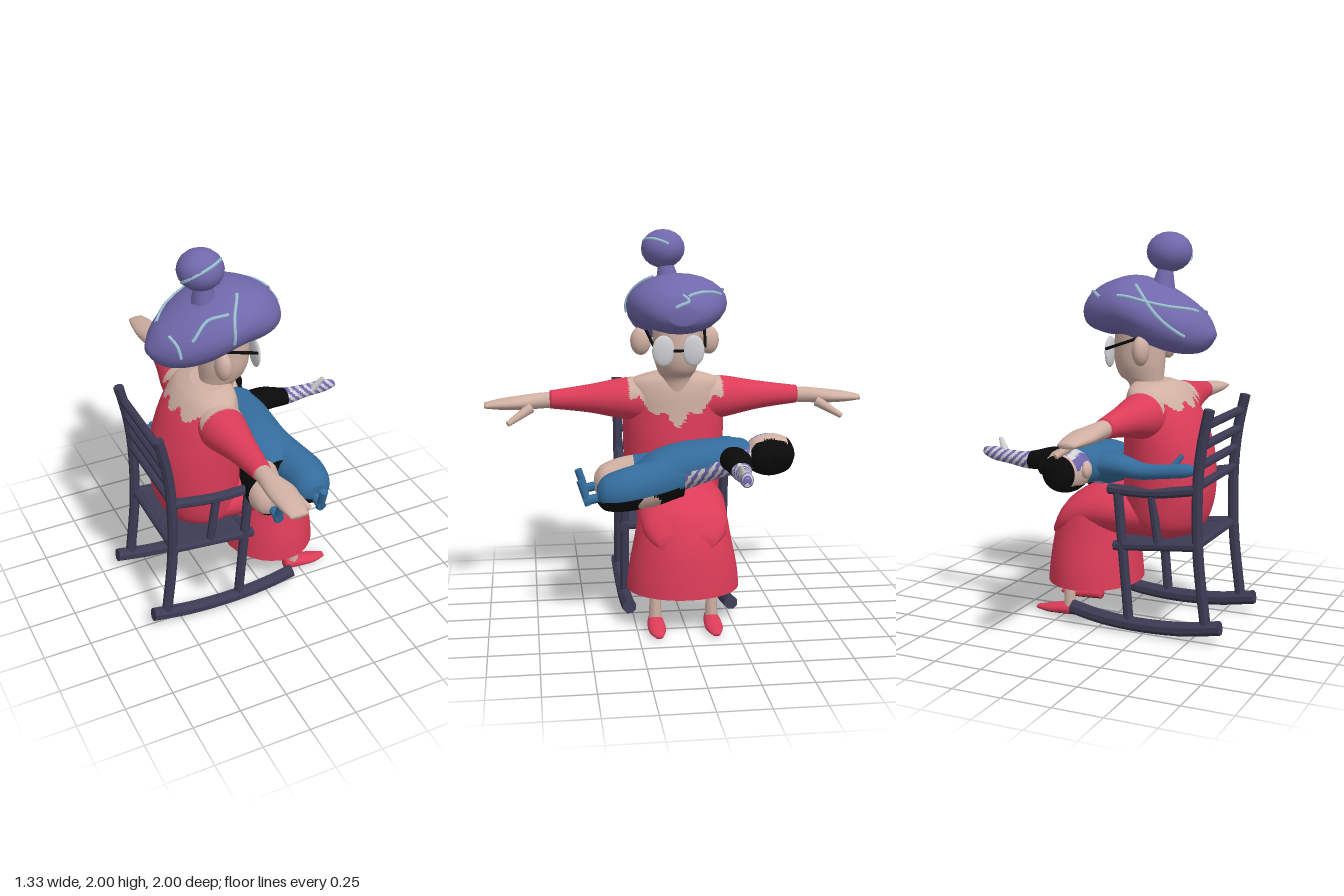
import * as THREE from 'three';

const mat = (name, color) => Object.assign(new THREE.MeshStandardMaterial({ color, side: THREE.DoubleSide }), { name });
const V = (x, y, z) => new THREE.Vector3(x, y, z);

// Smooth interpolation between rows of numbers; t runs over row indices
function sample(rows, t) {
  const n = rows.length - 1, i = Math.min(Math.floor(t), n - 1), f = t - i;
  const r = k => rows[Math.max(0, Math.min(n, k))];
  return rows[i].map((_, c) => {
    const a = r(i - 1)[c], b = r(i)[c], d = r(i + 1)[c], e = r(i + 2)[c];
    const v = b + 0.5 * f * (d - a + f * (2 * a - 5 * b + 4 * d - e + f * (3 * (b - d) + e - a)));
    return Math.min(Math.max(v, Math.min(b, d) - 0.01), Math.max(b, d) + 0.01);
  });
}

// Point on an elliptical section; row = [position, centreU, centreV, radiusU, radiusV]
const order = { x: [1, 2, 0], y: [2, 0, 1], z: [0, 1, 2] };
function ringPoint(axis, [p, cu, cv, ru, rv], a) {
  const [u, v, w] = order[axis], out = [0, 0, 0];
  out[u] = cu + ru * Math.cos(a);
  out[v] = cv + rv * Math.sin(a);
  out[w] = p;
  return out;
}

// Body lofted through sections in rising position; paint(x, y, z) picks a material
function loft(name, axis, rows, mats, { paint = () => 0, seg = 24, sub = 4, openStart = false } = {}) {
  const pos = [], steps = (rows.length - 1) * sub, buckets = mats.map(() => []);
  for (let i = 0; i <= steps; i++) {
    const row = sample(rows, i / sub);
    for (let j = 0; j < seg; j++) pos.push(...ringPoint(axis, row, j / seg * Math.PI * 2));
  }
  const first = rows[0], last = rows[rows.length - 1], c0 = pos.length / 3;
  for (const r of [first, last]) pos.push(...ringPoint(axis, [r[0], r[1], r[2], 0, 0], 0));
  const tri = (...t) => {
    const m = [0, 1, 2].map(k => (pos[t[0] * 3 + k] + pos[t[1] * 3 + k] + pos[t[2] * 3 + k]) / 3);
    buckets[paint(...m)].push(...t);
  };
  for (let j = 0; j < seg; j++) {
    const k = (j + 1) % seg;
    for (let i = 0; i < steps; i++) {
      const a = i * seg + j, b = i * seg + k;
      tri(a, b, a + seg);
      tri(b, b + seg, a + seg);
    }
    if (!openStart) tri(c0, k, j);
    tri(c0 + 1, steps * seg + j, steps * seg + k);
  }
  const g = new THREE.BufferGeometry();
  g.setAttribute('position', new THREE.Float32BufferAttribute(pos, 3));
  g.setIndex(buckets.flat());
  let start = 0;
  buckets.forEach((b, i) => { g.addGroup(start, b.length, i); start += b.length; });
  g.computeVertexNormals();
  const mesh = new THREE.Mesh(g, mats);
  mesh.name = name;
  return mesh;
}
const mirrored = (rows, centre = 0) => rows.map(([p, ...r]) => [2 * centre - p, ...r]).reverse();

// Octagonal bar swept along points
function bar(name, pts, r, material) {
  const oct = new THREE.Shape(Array.from({ length: 8 }, (_, i) => {
    const a = (i + 0.5) * Math.PI / 4;
    return new THREE.Vector2(r * Math.cos(a), r * Math.sin(a));
  }));
  const path = new THREE.CatmullRomCurve3(pts.map(p => V(...p)));
  const mesh = new THREE.Mesh(new THREE.ExtrudeGeometry(oct, { steps: pts.length > 2 ? 14 : 1, extrudePath: path }), material);
  mesh.name = name;
  return mesh;
}
function ball(name, p, s, material) {
  const mesh = new THREE.Mesh(new THREE.SphereGeometry(1, 16, 10), material);
  mesh.position.set(...p);
  mesh.scale.set(...s);
  mesh.name = name;
  return mesh;
}
// Tapered finger from a to b
function finger(name, a, b, r, material) {
  const d = V(...b).sub(V(...a));
  const mesh = new THREE.Mesh(new THREE.CylinderGeometry(r * 0.5, r, d.length(), 8), material);
  mesh.position.copy(V(...a)).addScaledVector(d, 0.5);
  mesh.quaternion.setFromUnitVectors(V(0, 1, 0), d.normalize());
  mesh.name = name;
  return mesh;
}

export function createModel() {
  const skin = mat('skin', 0xd0b0a3), red = mat('red cloth', 0xdc3c58), purple = mat('purple', 0x7068ab);
  const streakBlue = mat('pale blue', 0x9cc0d6), slate = mat('dark wood', 0x3c3b54), blue = mat('blue cloth', 0x346c9c);
  const black = mat('black', 0x0a0a0a), white = mat('pale grey', 0xd0d0d4);
  const group = (name, ...kids) => { const g = new THREE.Group(); g.name = name; return kids.length ? g.add(...kids) : g; };

  // Rocking chair
  const chair = group('rockingChair');
  for (const z of [-0.25, 0.28]) chair.add(
    bar('rocker', [[-0.66, 0.09, z], [-0.45, 0.055, z], [-0.2, 0.045, z], [0, 0.06, z], [0.15, 0.09, z]], 0.036, slate),
    bar('backPost', [[-0.585, 0.07, z], [-0.54, 0.45, z], [-0.535, 0.8, z], [-0.555, 1, z], [-0.59, 1.17, z]], 0.027, slate),
    bar('frontPost', [[-0.17, 0.06, z], [-0.11, 0.73, z]], 0.025, slate),
    bar('armSupport', [[-0.33, 0.47, z], [-0.29, 0.74, z]], 0.022, slate),
    bar('armrest', [[-0.53, 0.77, z], [-0.3, 0.735, z], [-0.06, 0.735, z]], 0.027, slate),
    bar('seatRail', [[-0.54, 0.49, z], [-0.09, 0.445, z]], 0.026, slate));
  for (const [x, y] of [[-0.57, 1.09], [-0.555, 0.99], [-0.54, 0.89], [-0.535, 0.79], [-0.53, 0.49], [-0.12, 0.45]])
    chair.add(bar('crossBar', [[x, y, -0.25], [x, y, 0.28]], 0.022, slate));
  const seat = new THREE.Mesh(new THREE.BoxGeometry(0.4, 0.025, 0.52), slate);
  seat.name = 'seat';
  seat.position.set(-0.32, 0.465, 0.015);
  seat.rotation.z = -0.1;
  chair.add(seat);

  // Dress with scalloped neckline
  const neckline = (x, y, z) => {
    const lobe = 0.05 * Math.abs(Math.cos(z * Math.PI / 0.13));
    const edge = (x > -0.25 ? 1.03 + 0.6 * Math.abs(z) : 1.18) - lobe;
    return y > edge && Math.abs(z) < 0.25 ? 1 : 0;
  };
  const cloth = [red, skin], painted = { paint: neckline, seg: 72, sub: 10 };
  const woman = group('woman');
  woman.add(
    loft('torso', 'y', [[0.48, 0, -0.27, 0.15, 0.14], [0.55, 0, -0.28, 0.23, 0.2], [0.7, 0, -0.29, 0.26, 0.23],
      [0.9, 0, -0.285, 0.27, 0.225], [1.05, 0, -0.265, 0.27, 0.195], [1.15, 0, -0.24, 0.26, 0.165],
      [1.22, 0, -0.22, 0.23, 0.13], [1.26, 0, -0.2, 0.12, 0.09]], cloth, painted),
    loft('lap', 'x', [[-0.3, 0.59, 0, 0.12, 0.22], [-0.1, 0.59, 0, 0.14, 0.24], [0.1, 0.58, 0, 0.13, 0.23],
      [0.24, 0.52, 0, 0.11, 0.21], [0.31, 0.46, 0, 0.05, 0.14]], [red]),
    loft('skirt', 'y', [[0.19, 0, 0.125, 0.29, 0.245], [0.3, 0, 0.125, 0.28, 0.235], [0.45, 0, 0.12, 0.25, 0.215],
      [0.6, 0, 0.1, 0.22, 0.17], [0.68, 0, 0.06, 0.16, 0.1]], [red], { openStart: true, seg: 32 }));

  // Arms, legs and shoes
  const sleeve = [[0.16, -0.23, 1.11, 0.12, 0.12], [0.27, -0.235, 1.115, 0.115, 0.11],
    [0.45, -0.23, 1.12, 0.078, 0.075], [0.66, -0.225, 1.12, 0.047, 0.047]];
  const hand = [[0.63, -0.225, 1.12, 0.042, 0.042], [0.72, -0.22, 1.115, 0.05, 0.042], [0.82, -0.205, 1.11, 0.07, 0.036],
    [0.92, -0.205, 1.105, 0.06, 0.028], [1, -0.205, 1.1, 0.045, 0.014]];
  for (const s of [1, -1]) {
    const side = rows => s > 0 ? rows : mirrored(rows), z = 0.145 * s + 0.01;
    woman.add(
      loft('sleeve', 'z', side(sleeve), cloth, painted),
      loft('hand', 'z', side(hand), [skin], { seg: 16 }),
      finger('thumb', [-0.16, 1.09, 0.76 * s], [-0.09, 1.02, 0.88 * s], 0.028, skin),
      finger('leg', [0.22, 0.04, z], [0.22, 0.4, z], 0.034, skin),
      loft('shoe', 'x', [[0.17, 0.035, z, 0.03, 0.03], [0.24, 0.035, z, 0.033, 0.042], [0.33, 0.025, z, 0.024, 0.044],
        [0.41, 0.02, z, 0.01, 0.02]], [red, black], { paint: (x, y) => y < 0.012 ? 1 : 0, seg: 16 }));
  }

  // Head, ears and spectacles
  const head = group('head');
  head.add(loft('face', 'y', [[1.15, 0, -0.17, 0.09, 0.09], [1.24, 0, -0.155, 0.085, 0.09], [1.28, 0, -0.13, 0.1, 0.115],
    [1.35, 0, -0.12, 0.12, 0.13], [1.45, 0, -0.12, 0.125, 0.132], [1.56, 0, -0.13, 0.13, 0.13]], [skin]));
  for (const s of [1, -1]) head.add(
    ball('ear', [-0.2, 1.425, 0.18 * s], [0.042, 0.075, 0.055], skin),
    ball('lens', [0.015, 1.4, 0.077 * s + 0.008], [0.016, 0.08, 0.058], white),
    bar('temple', [[-0.22, 1.5, 0.16 * s], [0.01, 1.42, 0.13 * s]], 0.008, black));
  head.add(bar('bridge', [[0.02, 1.4, -0.02], [0.02, 1.4, 0.035]], 0.007, black));

  // Hair, bun and pale streaks that follow the hair surface
  const hairRows = [[-0.52, 1.5, 0, 0.02, 0.03], [-0.47, 1.51, 0, 0.09, 0.11], [-0.38, 1.535, 0, 0.135, 0.19],
    [-0.25, 1.58, 0, 0.16, 0.245], [-0.1, 1.63, 0, 0.155, 0.26], [0.03, 1.62, 0, 0.135, 0.22],
    [0.12, 1.605, 0, 0.095, 0.15], [0.16, 1.59, 0, 0.045, 0.07]];
  head.add(loft('hair', 'x', hairRows, [purple]),
    ball('bun', [-0.255, 1.9, 0.055], [0.115, 0.1, 0.115], purple),
    finger('bunKnot', [-0.23, 1.7, 0.03], [-0.24, 1.84, 0.045], 0.07, purple));
  const streaks = [[[4, 28], [3.6, 60], [3.5, 100]], [[4.8, -65], [5.5, -40], [6.2, -12]], [[6.1, 0], [6.5, -15], [6.9, 30]],
    [[1.3, -20], [2.4, -50], [4, -65]], [[2.2, 65], [2.8, 45], [3.5, 50]], [[3.6, -35], [2.6, -75], [1.6, -100]],
    [[1.4, 40], [1.6, 65], [1.7, 95]]];
  for (const pts of streaks) {
    const guide = new THREE.CatmullRomCurve3(pts.map(([t, a]) => V(t, a * Math.PI / 180, 0)));
    const path = guide.getPoints(24).map(p => V(...ringPoint('x', sample(hairRows, p.x), p.y)));
    const streak = new THREE.Mesh(new THREE.TubeGeometry(new THREE.CatmullRomCurve3(path), 32, 0.009, 6), streakBlue);
    streak.name = 'hairStreak';
    head.add(streak);
  }
  const bunStreak = new THREE.Mesh(new THREE.TorusGeometry(0.108, 0.009, 6, 32, Math.PI), streakBlue);
  bunStreak.name = 'bunStreak';
  bunStreak.position.set(-0.255, 1.895, 0.055);
  bunStreak.rotation.set(1.1, 0.35, 0);
  head.add(bunStreak);
  woman.add(head);

  // Child lying across the lap
  const child = group('child');
  const childMats = [blue, black, white, purple, skin];
  const stripe = v => Math.abs(Math.floor(v / 0.022)) % 2 ? 3 : 2;
  const fine = paint => ({ paint, seg: 40, sub: 12 });
  child.add(
    loft('childTorso', 'z', [[-0.36, 0.07, 0.86, 0.05, 0.05], [-0.32, 0.07, 0.855, 0.12, 0.09], [-0.2, 0.07, 0.85, 0.14, 0.1],
      [0, 0.07, 0.81, 0.15, 0.125], [0.15, 0.08, 0.77, 0.16, 0.12], [0.24, 0.08, 0.75, 0.1, 0.07]], childMats,
      fine((x, y, z) => x < 0.02 || y > 0.8 - 0.35 * Math.min(z, 0) ? 0 : z < 0.03 ? stripe(z + y * 0.5) : 1)),
    loft('childHead', 'z', [[-0.585, 0.07, 0.86, 0.03, 0.03], [-0.55, 0.07, 0.86, 0.085, 0.085], [-0.46, 0.07, 0.86, 0.112, 0.11],
      [-0.38, 0.07, 0.86, 0.1, 0.09], [-0.34, 0.07, 0.86, 0.05, 0.05]], childMats,
      fine((x, y, z) => x > 0.13 || z < -0.545 || y < 0.8 ? 1 : x < 0.07 && y > 0.88 && z > -0.53 ? stripe(x * 0.7) : 4)),
    ball('childEar', [-0.045, 0.87, -0.47], [0.025, 0.04, 0.035], skin),
    ball('childEar', [0.185, 0.87, -0.48], [0.025, 0.04, 0.035], black));
  const arm = [[0.14, 0.86, -0.25, 0.065, 0.085], [0.25, 0.865, -0.26, 0.058, 0.075], [0.38, 0.845, -0.26, 0.045, 0.05],
    [0.5, 0.85, -0.255, 0.036, 0.034], [0.6, 0.86, -0.245, 0.035, 0.032], [0.66, 0.865, -0.235, 0.02, 0.018]];
  child.add(
    loft('patternedArm', 'x', arm, childMats, fine((x, y) => x < 0.37 ? 1 : stripe(x + y))),
    finger('childThumb', [0.53, 0.86, -0.24], [0.58, 0.935, -0.21], 0.022, white),
    loft('blueArm', 'x', mirrored(arm, 0.07), [blue]),
    finger('childThumb', [-0.39, 0.86, -0.24], [-0.44, 0.93, -0.21], 0.022, blue));

  // Child's legs and feet
  const leg = (x0, x1, r) => [[0, x0, 0.78, 0.1, 0.12], [0.15, (x0 + x1) / 2, 0.75, r, 0.12], [0.3, x1, 0.73, r, 0.11],
    [0.4, x1, 0.715, r * 0.85, 0.088], [0.44, x1, 0.71, r * 0.4, 0.045]];
  const patch = (x, y, z) => Math.hypot(z - 0.18, (y - 0.66) * 1.3) < 0.06;
  child.add(
    loft('childLeg', 'z', leg(0.12, 0.2, 0.11), childMats,
      fine((x, y, z) => y > 0.71 - 0.12 * (z - 0.2) ? 0 : patch(x, y, z) ? 4 : 1)),
    loft('childLeg', 'z', leg(0.03, -0.04, 0.1), childMats,
      fine((x, y, z) => y < 0.66 || (x < -0.09 && z < 0.34 && z > 0.1) ? 1 : z > 0.24 ? 4 : 0)));
  for (const x of [-0.05, 0.19]) child.add(
    bar('childAnkle', [[x, 0.7, 0.38], [x, 0.675, 0.51]], 0.024, blue),
    bar('childFoot', [[x, 0.655, 0.485], [x, 0.78, 0.525]], 0.021, blue));

  return group('womanInRockingChair', chair, woman, child);
}
